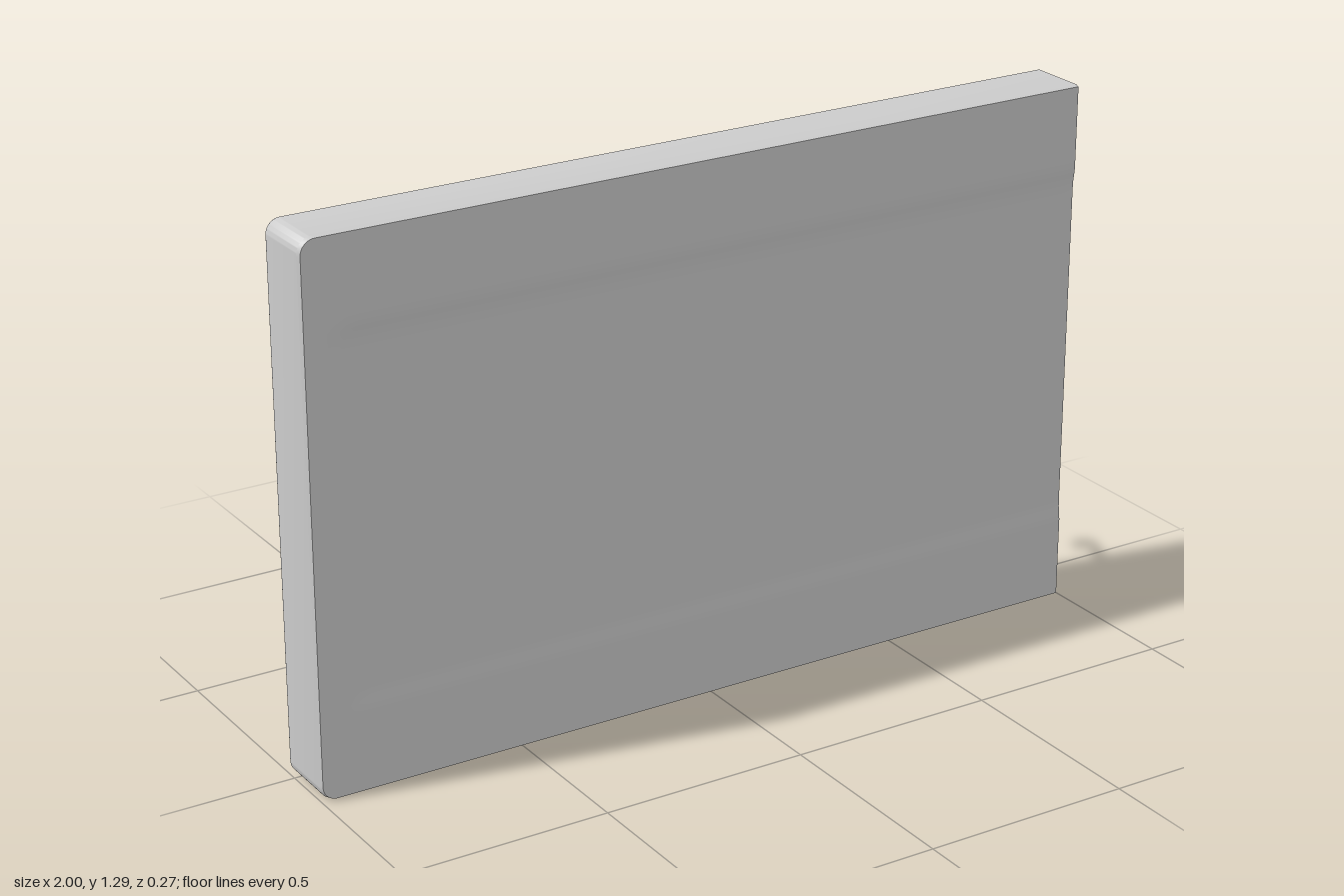
import * as THREE from 'three';
import { toCreasedNormals } from 'three/addons/utils/BufferGeometryUtils.js';

const HEIGHT = 1.29, HALF = HEIGHT / 2, RADIUS = 0.035;
const BACK = -0.023, SEAM = 0.123, FRONT = 0.135, BEVEL = 0.006;

// Rounded rectangle; the radii on the -x and +x sides may differ.
function roundedRect(path, x0, x1, y0, y1, rl, rr) {
  path.moveTo(x0 + rl, y0);
  path.lineTo(x1 - rr, y0);
  if (rr) path.absarc(x1 - rr, y0 + rr, rr, -Math.PI / 2, 0);
  path.lineTo(x1, y1 - rr);
  if (rr) path.absarc(x1 - rr, y1 - rr, rr, 0, Math.PI / 2);
  path.lineTo(x0 + rl, y1);
  path.absarc(x0 + rl, y1 - rl, rl, Math.PI / 2, Math.PI);
  path.lineTo(x0, y0 + rl);
  path.absarc(x0 + rl, y0 + rl, rl, Math.PI, Math.PI * 1.5);
  return path;
}

// Deep frame with the window opening at the back
function frameGeometry() {
  const shape = roundedRect(new THREE.Shape(), -1, 1, 0, HEIGHT, RADIUS, 0);
  shape.holes.push(roundedRect(new THREE.Path(), -0.875, 0.868, 0.235, 1.055, 0.09, 0.09));
  const g = new THREE.ExtrudeGeometry(shape, {
    depth: SEAM - BACK - BEVEL, curveSegments: 10,
    bevelSize: BEVEL, bevelThickness: BEVEL, bevelOffset: -BEVEL, bevelSegments: 2,
  });
  g.translate(0, 0, BACK + BEVEL);
  return toCreasedNormals(g, 0.5);
}

// Thin front skin: rounded on the -x side, with a soft shallow recess open to +x
function frontGeometry() {
  const g = new THREE.BoxGeometry(2, 2, 1, 80, 90, 1);
  const p = g.attributes.position, step = THREE.MathUtils.smoothstep;
  for (let i = 0; i < p.count; i++) {
    const isFront = p.getZ(i) > 0;
    const y = HALF * Math.sin(p.getY(i) * Math.PI / 2);
    const over = Math.max(0, Math.abs(y) - (HALF - RADIUS));
    const left = -1 + RADIUS - Math.sqrt(Math.max(0, RADIUS * RADIUS - over * over));
    const x = left + (p.getX(i) + 1) / 2 * (1 - left);
    const dip = step(x, -0.94, -0.89) * (1 - step(Math.abs(y), 0.405, 0.45));
    const inset = isFront ? 0.997 : 1;
    p.setXYZ(i, x * inset, y * inset + HALF, isFront ? FRONT - 0.005 * dip : SEAM);
  }
  g.computeVertexNormals();
  return g;
}

// Latch hook: sloping arm with a rounded drop at its tip, drawn as (-z, y)
function hookGeometry() {
  const s = new THREE.Shape();
  s.moveTo(0.015, -0.003);
  s.lineTo(0.085, 0.029);
  s.quadraticCurveTo(0.095, 0.032, 0.095, 0.023);
  s.lineTo(0.095, 0.006);
  s.quadraticCurveTo(0.095, 0, 0.102, 0);
  s.lineTo(0.126, 0);
  s.quadraticCurveTo(0.134, 0, 0.134, 0.008);
  s.lineTo(0.134, 0.046);
  s.quadraticCurveTo(0.134, 0.054, 0.126, 0.054);
  s.lineTo(0.1, 0.054);
  s.lineTo(0.015, 0.02);
  const g = new THREE.ExtrudeGeometry(s, { depth: 0.012, bevelEnabled: false, curveSegments: 5 });
  g.rotateY(Math.PI / 2);
  return toCreasedNormals(g, 0.6);
}

export function createModel() {
  const group = new THREE.Group();
  group.name = 'ovenDoor';
  const material = new THREE.MeshStandardMaterial({ color: 0xcccccc });
  const add = (name, geometry) => {
    const mesh = new THREE.Mesh(geometry, material);
    mesh.name = name;
    group.add(mesh);
    return mesh;
  };

  add('doorFrame', frameGeometry());
  add('frontPanel', frontGeometry());

  // Two latch hooks on the back, near the +x edge
  const hook = hookGeometry();
  [['upperHook', 0.853], ['lowerHook', 0.305]].forEach(([name, y]) => {
    add(name, hook).position.set(0.956, y, 0);
  });
  return group;
}
